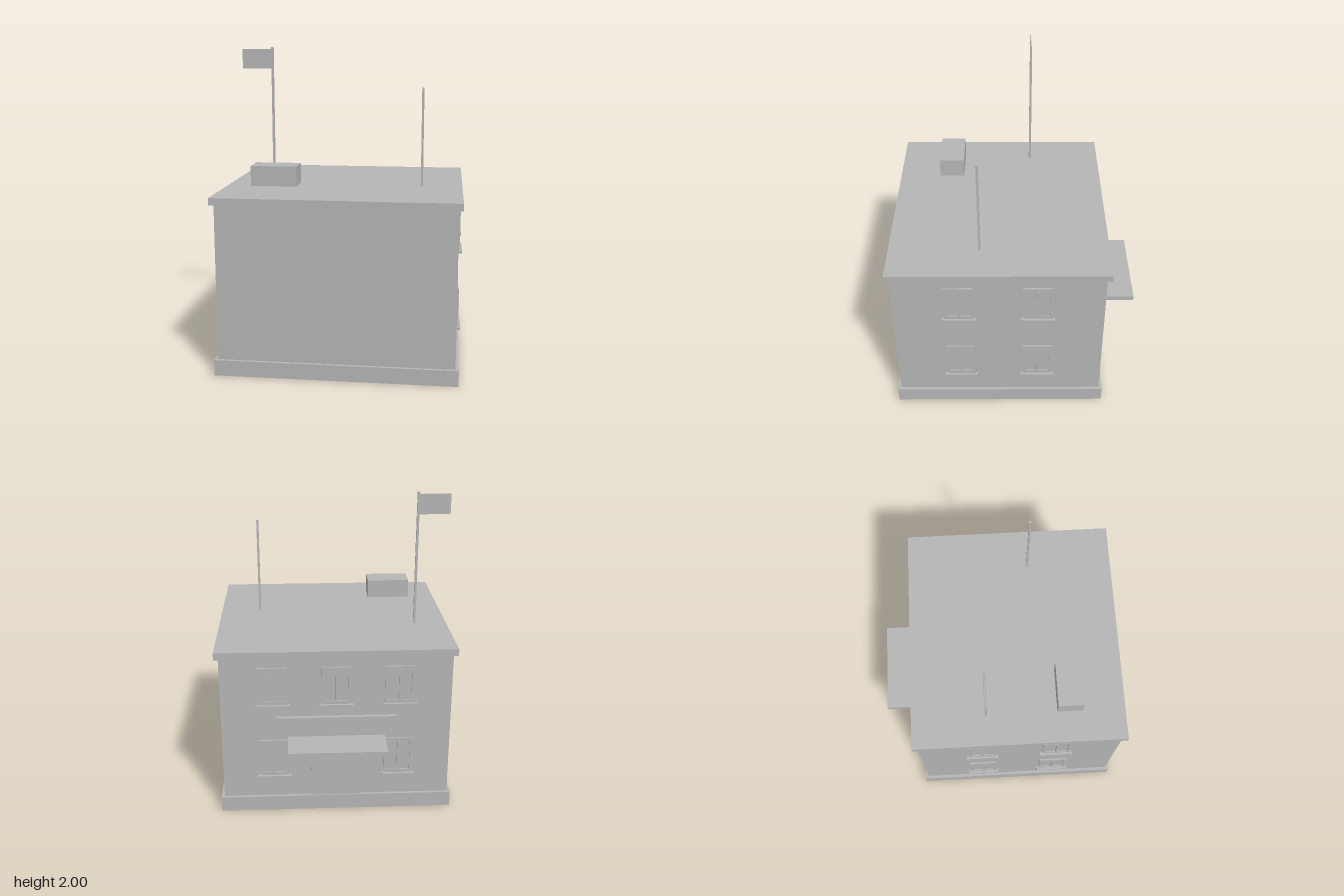
import * as THREE from 'three';

const wallGrey = new THREE.MeshStandardMaterial({ color: 0xb4b4b4 });
wallGrey.name = 'plain grey';

// Box given by its extents on each axis
function box(parent, name, [x0, x1], [y0, y1], [z0, z1]) {
  const mesh = new THREE.Mesh(new THREE.BoxGeometry(x1 - x0, y1 - y0, z1 - z0), wallGrey);
  mesh.position.set((x0 + x1) / 2, (y0 + y1) / 2, (z0 + z1) / 2);
  mesh.name = name;
  parent.add(mesh);
  return mesh;
}

// Window facing +z with its sill, origin at the wall surface, bottom centre
function makeWindow() {
  const g = new THREE.Group();
  g.name = 'window';
  const w = 0.095, h = 0.25, b = 0.022;
  const outline = new THREE.Shape([
    new THREE.Vector2(-w, 0), new THREE.Vector2(w, 0),
    new THREE.Vector2(w, h), new THREE.Vector2(-w, h),
  ]);
  outline.holes.push(new THREE.Path([
    new THREE.Vector2(-w + b, b), new THREE.Vector2(-w + b, h - b),
    new THREE.Vector2(w - b, h - b), new THREE.Vector2(w - b, b),
  ]));
  const frame = new THREE.Mesh(
    new THREE.ExtrudeGeometry(outline, { depth: 0.011, bevelEnabled: false }), wallGrey);
  frame.name = 'windowFrame';
  g.add(frame);
  box(g, 'windowPane', [-w + b, w - b], [b, h - b], [-0.004, 0.003]);
  box(g, 'mullion', [-0.008, 0.008], [b, h - b], [0, 0.016]);
  box(g, 'sill', [-0.108, 0.108], [-0.015, 0], [0, 0.027]);
  return g;
}

export function createModel() {
  const model = new THREE.Group();
  model.name = 'building';

  // Main volumes
  box(model, 'plinth', [-0.75, 0.75], [0, 0.1], [-0.575, 0.8]);
  box(model, 'walls', [-0.73, 0.73], [0.1, 1.075], [-0.555, 0.78]);
  box(model, 'roofSlab', [-0.755, 0.755], [1.075, 1.12], [-0.585, 0.805]);

  // Windows on both sides and the back
  const addWindow = (x, y, z, turn) => {
    const win = makeWindow();
    win.position.set(x, y, z);
    win.rotation.y = turn;
    model.add(win);
  };
  for (const y of [0.255, 0.755]) {
    for (const side of [-1, 1]) {
      for (const z of [-0.135, 0.363]) addWindow(side * 0.73, y, z, side * Math.PI / 2);
    }
    for (const x of y > 0.5 ? [-0.4, 0, 0.4] : [-0.4, 0.4]) addWindow(x, y, -0.555, Math.PI);
  }

  // Entrance at the back
  box(model, 'door', [-0.16, 0.16], [0.1, 0.505], [-0.568, -0.555]);
  box(model, 'canopy', [-0.308, 0.308], [0.505, 0.54], [-0.805, -0.555]);
  box(model, 'signBoard', [-0.38, 0.38], [0.54, 0.67], [-0.583, -0.555]);

  // Rooftop fittings
  box(model, 'roofUnit', [-0.56, -0.272], [1.15, 1.275], [0.36, 0.525]);
  box(model, 'antenna', [0.488, 0.502], [1.12, 1.75], [0.225, 0.239]);
  box(model, 'flagPole', [-0.55, -0.535], [1.12, 2.0], [-0.108, -0.093]);
  box(model, 'flag', [-0.75, -0.542], [1.855, 1.985], [-0.104, -0.097]);

  return model;
}
